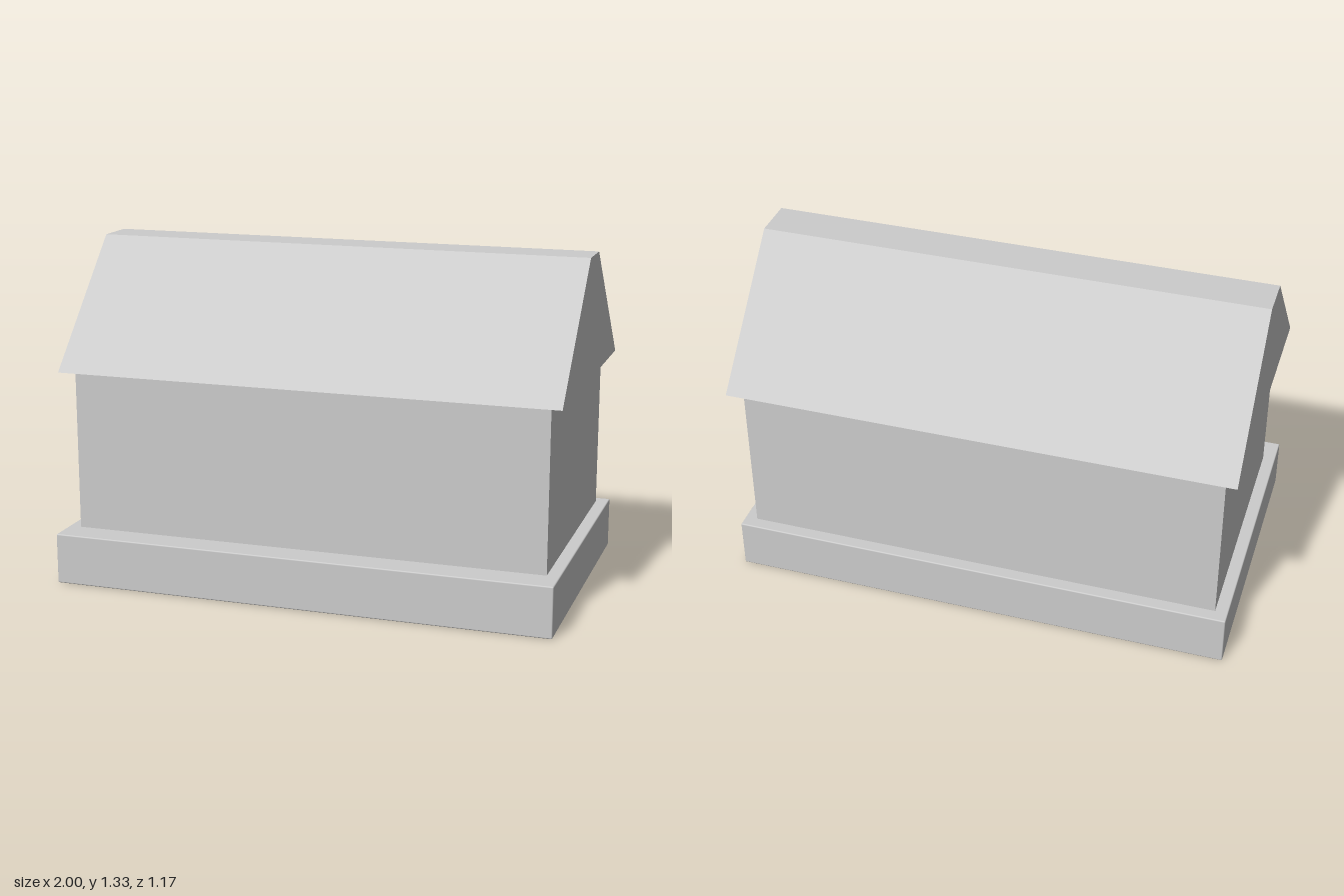
import * as THREE from 'three';
import { RoundedBoxGeometry } from 'three/addons/geometries/RoundedBoxGeometry.js';

export function createModel() {
  const model = new THREE.Group();
  model.name = 'gabledHouse';
  const grey = new THREE.MeshStandardMaterial({ name: 'light grey', color: 0xcccccc });

  const add = (name, geometry, x, y, z) => {
    const mesh = new THREE.Mesh(geometry, grey);
    mesh.name = name;
    mesh.position.set(x, y, z);
    model.add(mesh);
  };

  // Plinth with a very fine softened edge
  add('plinth', new RoundedBoxGeometry(2, 0.202, 1.172, 2, 0.005), 0, 0.101, 0);

  // Walls, set slightly towards the back
  add('walls', new THREE.BoxGeometry(1.9, 0.644, 1.004), 0, 0.524, -0.034);

  // Flat-ridged roof: trapezoid section in (-z, y), extruded along x
  const section = new THREE.Shape([
    new THREE.Vector2(-0.518, 0.844),
    new THREE.Vector2(0.586, 0.844),
    new THREE.Vector2(0.119, 1.325),
    new THREE.Vector2(-0.05, 1.325),
  ]);
  const roof = new THREE.ExtrudeGeometry(section, { depth: 2, bevelEnabled: false });
  roof.rotateY(Math.PI / 2);
  add('roof', roof, -1, 0, 0);

  return model;
}
